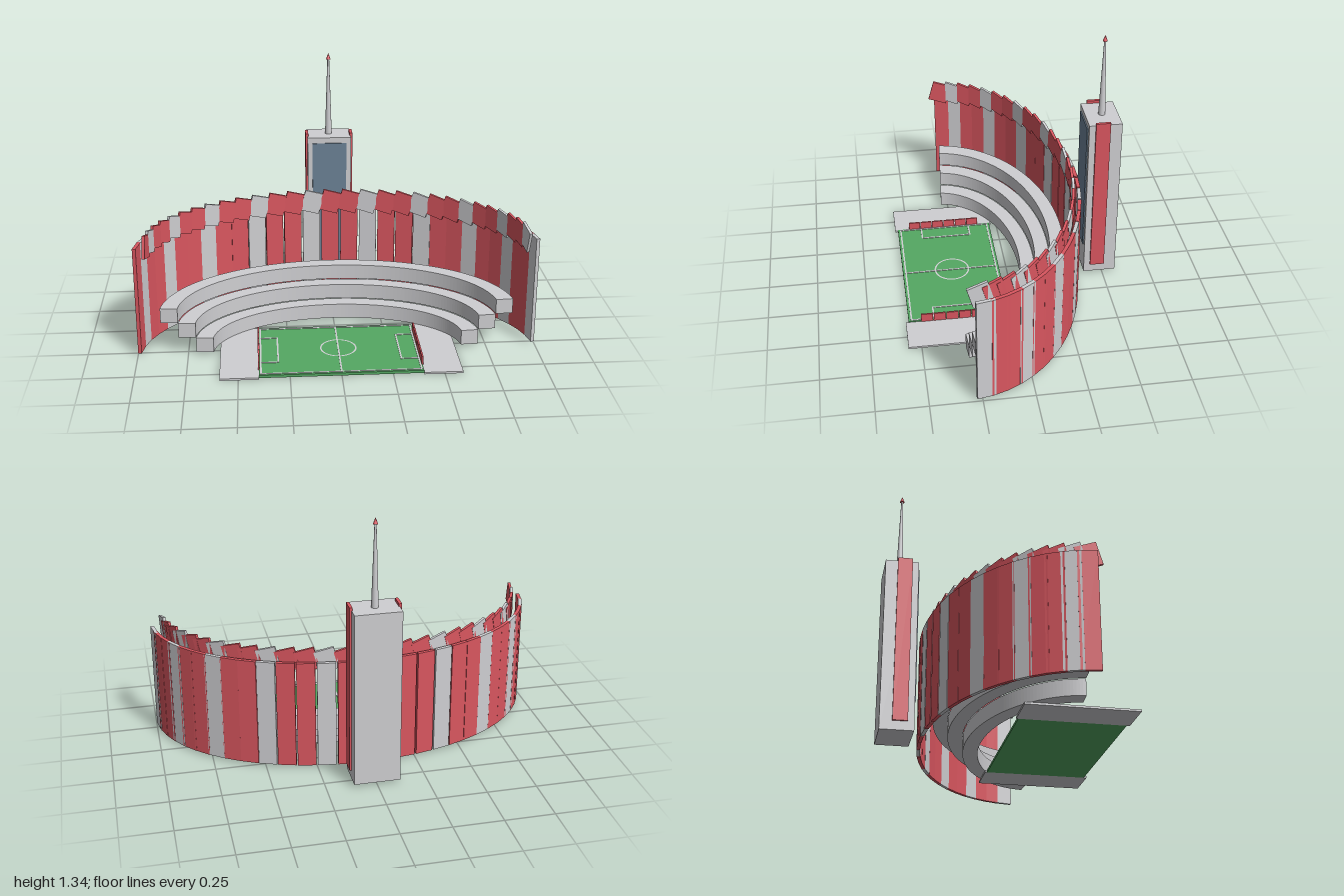
import * as THREE from 'three';

const mat = (name, color) => {
  const m = new THREE.MeshStandardMaterial({ color });
  m.name = name;
  return m;
};

const CZ = 0.32; // z of the centre shared by all the ellipses

export function createModel() {
  const red = mat('red', 0xd9565f);
  const grey = mat('lightGrey', 0xcfcfd2);
  const green = mat('grass', 0x55a863);
  const blue = mat('glassBlue', 0x6c8296);

  const model = new THREE.Group();
  model.name = 'stadium';

  const group = (name) => {
    const g = new THREE.Group();
    g.name = name;
    model.add(g);
    return g;
  };
  const add = (parent, name, geo, material, x = 0, y = 0, z = 0) => {
    const m = new THREE.Mesh(geo, material);
    m.name = name;
    m.position.set(x, y, z);
    parent.add(m);
    return m;
  };
  // box given by its limits on each axis
  const box = (parent, name, material, [x0, x1], [y0, y1], [z0, z1]) =>
    add(parent, name, new THREE.BoxGeometry(x1 - x0, y1 - y0, z1 - z0), material,
      (x0 + x1) / 2, (y0 + y1) / 2, (z0 + z1) / 2);

  // pitch and side aprons
  const ground = group('ground');
  box(ground, 'pitch', green, [-0.4, 0.4], [0, 0.014], [0.04, 0.55]);
  for (const s of [-1, 1]) {
    const xs = [0.4 * s, 0.59 * s].sort((a, b) => a - b);
    box(ground, 'apron', grey, xs, [0, 0.01], [0.03, 0.565]);
  }

  // pitch markings
  const lines = group('pitchLines');
  const LW = 0.008, LY = [0.013, 0.0165];
  const lineX = (x0, x1, z) => box(lines, 'line', grey, [x0, x1], LY, [z - LW / 2, z + LW / 2]);
  const lineZ = (x, z0, z1) => box(lines, 'line', grey, [x - LW / 2, x + LW / 2], LY, [z0, z1]);
  lineX(-0.394, 0.394, 0.055);
  lineX(-0.394, 0.394, 0.535);
  lineZ(0, 0.055, 0.535);
  for (const s of [-1, 1]) {
    lineZ(s * 0.39, 0.055, 0.535);
    lineZ(s * 0.304, 0.155, 0.425);
    for (const z of [0.159, 0.421]) lineX(Math.min(s * 0.304, s * 0.39), Math.max(s * 0.304, s * 0.39), z);
  }
  const circle = add(lines, 'centreCircle', new THREE.RingGeometry(0.084, 0.092, 48), grey, 0, 0.0165, 0.29);
  circle.rotation.x = -Math.PI / 2;

  // boards along both ends of the pitch
  const boards = group('sideBoards');
  for (const s of [-1, 1])
    for (let i = 0; i < 6; i++)
      add(boards, 'board', new THREE.BoxGeometry(0.008, 0.044, 0.06), red, s * 0.4, 0.033, 0.137 + i * 0.064);

  // three stepped elliptical seating tiers
  const tiers = group('seatingTiers');
  const arc = 0.085;
  for (let i = 0; i < 3; i++) {
    const a = 0.625 + i * 0.087, b = 0.385 + i * 0.075;
    const shape = new THREE.Shape();
    shape.absellipse(0, -CZ, a + 0.086, b + 0.074, arc, Math.PI - arc, false);
    shape.absellipse(0, -CZ, a, b, Math.PI - arc, arc, true);
    shape.closePath();
    const geo = new THREE.ExtrudeGeometry(shape, { depth: 0.078, bevelEnabled: false, curveSegments: 48 });
    geo.rotateX(-Math.PI / 2);
    add(tiers, 'tier', geo, grey, 0, 0.012 + i * 0.08, 0);
  }

  // rings of panels on an ellipse, every third one grey
  const COUNT = 29;
  const panelRing = (name, a, b, start, y, size, tilt) => {
    const ring = group(name);
    const geo = new THREE.BoxGeometry(...size);
    for (let i = 0; i < COUNT; i++) {
      const t = start + (Math.PI - 2 * start) * i / (COUNT - 1);
      const p = add(ring, 'panel', geo, i % 3 === 0 ? grey : red,
        a * Math.cos(t), y, CZ - b * Math.sin(t));
      p.rotation.set(0, Math.atan2(-b * Math.cos(t), a * Math.sin(t)), -tilt);
    }
  };
  panelRing('outerWall', 0.99, 0.675, 0.131, 0.293, [0.092, 0.562, 0.018], 0);
  panelRing('tiltedCrown', 0.94, 0.645, 0.11, 0.575, [0.102, 0.113, 0.014], 0.27);

  // tower with side fins, glass front and spire
  const tower = group('tower');
  box(tower, 'towerBody', grey, [-0.115, 0.115], [0.014, 0.906], [-0.567, -0.4]);
  box(tower, 'towerGlass', blue, [-0.09, 0.09], [0.175, 0.876], [-0.4005, -0.394]);
  box(tower, 'fin', red, [0.11, 0.125], [0.06, 0.92], [-0.506, -0.432]);
  box(tower, 'fin', red, [-0.125, -0.11], [0.06, 0.92], [-0.506, -0.432]);
  add(tower, 'spire', new THREE.CylinderGeometry(0.005, 0.018, 0.41, 16), grey, 0, 1.11, -0.485);
  add(tower, 'spireTip', new THREE.ConeGeometry(0.012, 0.032, 16), red, 0, 1.328, -0.485);

  return model;
}
